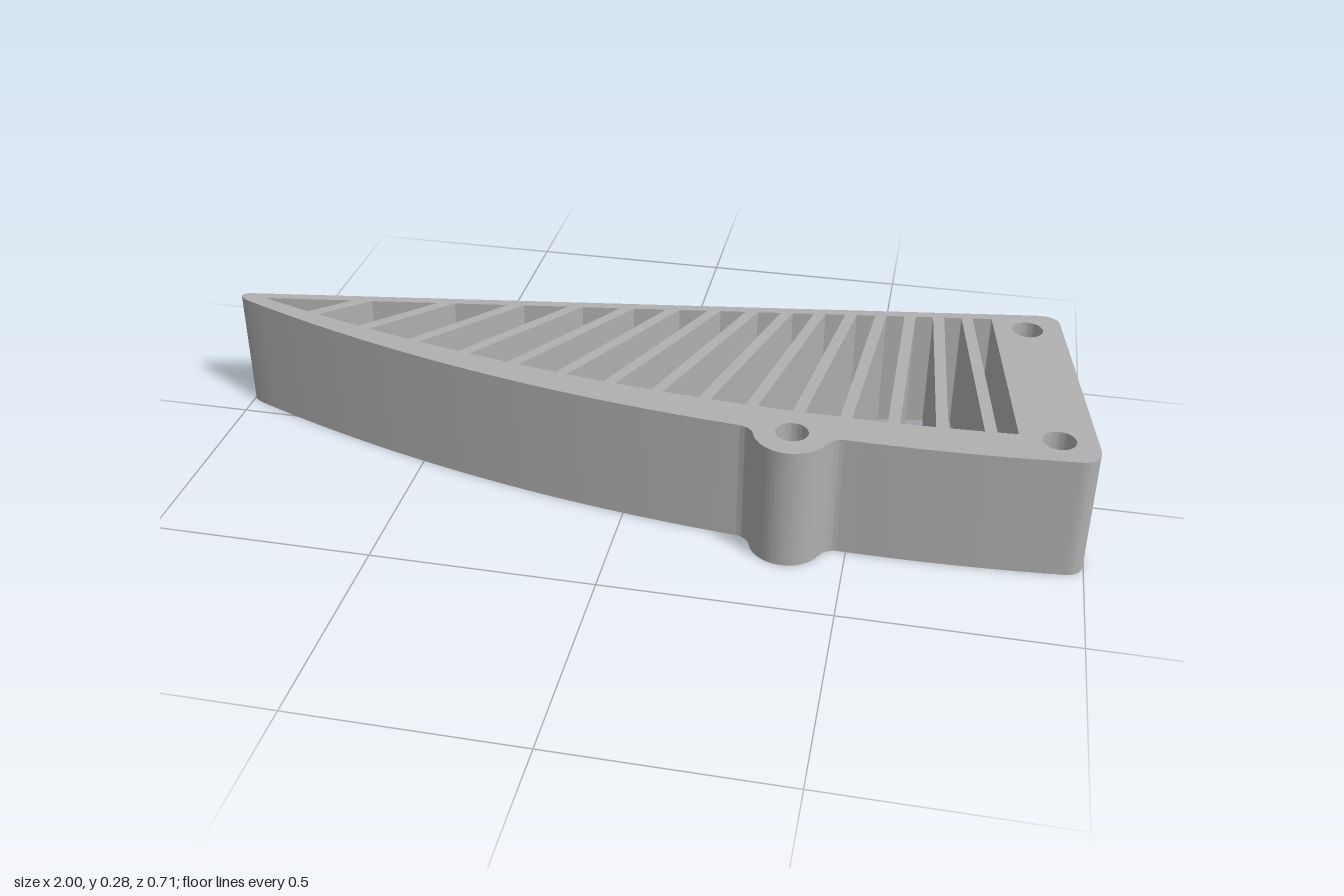
import * as THREE from 'three';
import { toCreasedNormals } from 'three/addons/utils/BufferGeometryUtils.js';

const HEIGHT = 0.284;
const HOLE_RADIUS = 0.035;
const RIB_HALF = 0.0128;
const PIVOT = { x: 0.575, z: -1.22 }; // point the ribs fan out from
const RIB_STEP = THREE.MathUtils.degToRad(4.07);

// curved long side (outer) and the inside of its rim (inner), as z of x
const arc = (cx, top, r) => (x) => top - r + Math.sqrt(r * r - (x - cx) ** 2);
const outerZ = arc(0.6, 0.28, 4);
const INNER = { cx: 0.55, top: 0.19, r: 4.5 };
const innerZ = arc(INNER.cx, INNER.top, INNER.r);

// straight long side and the inside of its rim
const SLOPE = -0.1473;
const straightZ = (x) => -0.225 + SLOPE * x;
const INNER_OFFSET = -0.202;

// where a slot edge (point p, direction d) meets the straight and the curved rim
function slotEdge(p, d) {
  const t = (INNER_OFFSET + SLOPE * p.x - p.z) / (d.z - SLOPE * d.x);
  const ox = p.x - INNER.cx, oz = p.z - (INNER.top - INNER.r);
  const b = ox * d.x + oz * d.z;
  const s = -b + Math.sqrt(b * b - (ox * ox + oz * oz - INNER.r ** 2));
  return {
    top: new THREE.Vector2(p.x + d.x * t, p.z + d.z * t),
    bottom: new THREE.Vector2(p.x + d.x * s, p.z + d.z * s),
  };
}

// one side of rib k; side -1 is towards -x, +1 towards +x
function ribEdge(k, side) {
  const a = k * RIB_STEP;
  const d = { x: -Math.sin(a), z: Math.cos(a) };
  return slotEdge({ x: PIVOT.x + d.z * RIB_HALF * side, z: PIVOT.z - d.x * RIB_HALF * side }, d);
}

// opening between two edges, following the curved rim
function slot(left, right) {
  const points = [left.top];
  const n = 5;
  for (let i = 0; i <= n; i++) {
    const x = THREE.MathUtils.lerp(left.bottom.x, right.bottom.x, i / n);
    if (i > 0 || left.top !== left.bottom) points.push(new THREE.Vector2(x, innerZ(x)));
  }
  points.push(right.top);
  return new THREE.Path(points);
}

function roundHole(x, z) {
  return new THREE.Path().absarc(x, z, HOLE_RADIUS, 0, Math.PI * 2, false);
}

function outline() {
  const s = new THREE.Shape();
  const curveTo = (x0, x1, n) => {
    for (let i = 1; i <= n; i++) {
      const x = THREE.MathUtils.lerp(x0, x1, i / n);
      s.lineTo(x, outerZ(x));
    }
  };
  // straight side, then the two rounded corners of the wide end
  s.moveTo(-0.985, straightZ(-0.985));
  s.lineTo(0.86, straightZ(0.86));
  s.quadraticCurveTo(0.912, -0.36, 0.919, -0.318);
  s.lineTo(0.998, 0.205);
  s.quadraticCurveTo(1.006, 0.261, 0.955, outerZ(0.955));

  // screw lug with a fillet on each side
  const lug = { x: 0.37, z: 0.272, r: 0.081 }, f = 0.04;
  const fillet = (side) => {
    const z = outerZ(lug.x + side * 0.113) + f;
    const dx = Math.sqrt((lug.r + f) ** 2 - (z - lug.z) ** 2);
    return { x: lug.x + side * dx, z, angle: Math.atan2(z - lug.z, side * dx) };
  };
  const fr = fillet(1), fl = fillet(-1);
  curveTo(0.955, fr.x, 8);
  s.absarc(fr.x, fr.z, f, -Math.PI / 2, fr.angle - Math.PI, true);
  s.absarc(lug.x, lug.z, lug.r, fr.angle, fl.angle, false);
  s.absarc(fl.x, fl.z, f, fl.angle - Math.PI, -Math.PI / 2, true);

  // long curved side back to the rounded tip
  curveTo(fl.x - 0.01, -0.975, 28);
  s.quadraticCurveTo(-1.02, -0.068, -0.985, straightZ(-0.985));
  return s;
}

export function createModel() {
  const group = new THREE.Group();
  group.name = 'ventGrille';
  const grey = new THREE.MeshStandardMaterial({ color: 0xb0b0b0 });
  grey.name = 'grey';

  const shape = outline();

  // screw holes
  shape.holes.push(roundHole(0.845, -0.278), roundHole(0.915, 0.19), roundHole(0.37, 0.27));

  // slots between neighbouring ribs
  const first = -2, last = 12;
  for (let k = first; k < last; k++) shape.holes.push(slot(ribEdge(k + 1, 1), ribEdge(k, -1)));

  // end slots: parallel to the wide end, and running out to the tip
  const endDir = new THREE.Vector2(0.07, 0.495).normalize();
  const endEdge = slotEdge({ x: 0.762, z: -0.315 }, { x: endDir.x, z: endDir.y });
  shape.holes.push(slot(ribEdge(first, 1), endEdge));
  const tip = new THREE.Vector2(-0.94, innerZ(-0.94));
  shape.holes.push(slot({ top: tip, bottom: tip }, ribEdge(last, -1)));

  // lay the extrusion flat, standing on y = 0
  let geometry = new THREE.ExtrudeGeometry(shape, { depth: HEIGHT, bevelEnabled: false, curveSegments: 20 });
  geometry.rotateX(Math.PI / 2);
  geometry.translate(0, HEIGHT, 0);
  geometry = toCreasedNormals(geometry, 0.5);

  const body = new THREE.Mesh(geometry, grey);
  body.name = 'slottedBody';
  group.add(body);
  return group;
}
